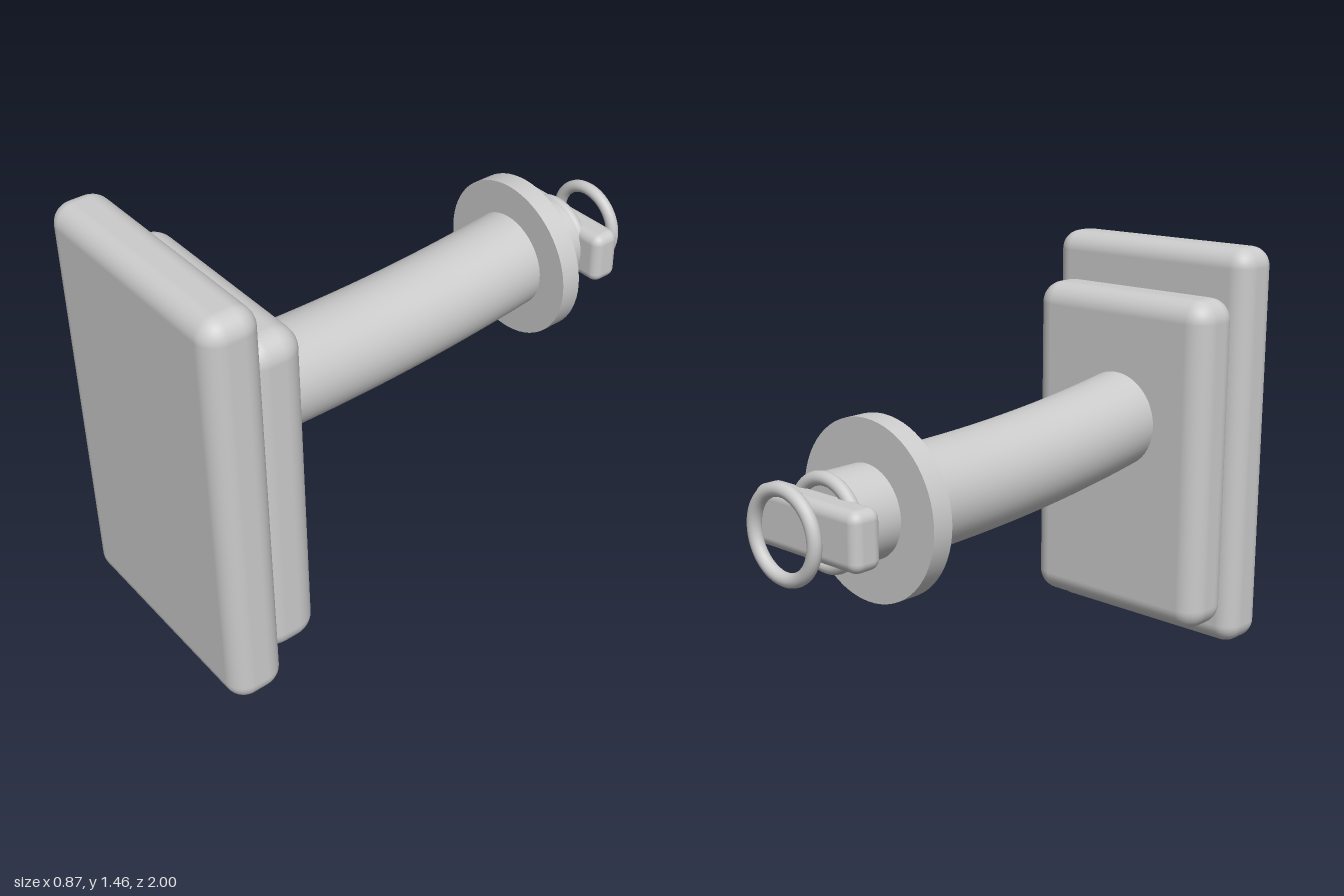
import * as THREE from 'three';
import { RoundedBoxGeometry } from 'three/addons/geometries/RoundedBoxGeometry.js';

const AXIS_X = -0.1;   // centre of the rear fittings
const AXIS_Y = 0.785;

export function createModel() {
  const group = new THREE.Group();
  const material = new THREE.MeshStandardMaterial({ color: 0xcccccc });

  const add = (name, geometry, x = 0, y = 0, z = 0) => {
    const mesh = new THREE.Mesh(geometry, material);
    mesh.name = name;
    mesh.position.set(x, y, z);
    group.add(mesh);
    return mesh;
  };

  // Rounded block spanning z0..z1
  const block = (name, w, h, z0, z1, radius, x, y) =>
    add(name, new RoundedBoxGeometry(w, h, z1 - z0, 5, radius), x, y, (z0 + z1) / 2);

  // Round disc on the rear axis spanning z0..z1
  const disc = (name, radius, z0, z1) =>
    add(name, new THREE.CylinderGeometry(radius, radius, z1 - z0, 64).rotateX(Math.PI / 2),
      AXIS_X, AXIS_Y, (z0 + z1) / 2);

  const ring = (name, z) =>
    add(name, new THREE.TorusGeometry(0.136, 0.0225, 16, 64), AXIS_X, AXIS_Y, z);

  // Front plate and the smaller plate behind it
  block('frontPlate', 0.87, 1.46, 0.81, 1, 0.07, 0, 0.73);
  block('backPlate', 0.775, 1.21, 0.64, 0.85, 0.08, 0, 0.685);

  // Gently bowed arm, ends buried in the plate and flange
  const armPath = new THREE.QuadraticBezierCurve3(
    new THREE.Vector3(-0.006, 0.835, 0.7),
    new THREE.Vector3(-0.054, 0.752, 0.04),
    new THREE.Vector3(-0.103, 0.784, -0.62),
  );
  add('arm', new THREE.TubeGeometry(armPath, 32, 0.173, 48));

  // Flange, neck and clamp fittings
  disc('flange', 0.291, -0.655, -0.58);
  disc('neck', 0.151, -0.815, -0.64);
  ring('neckRing', -0.815);
  block('crossBar', 0.465, 0.19, -0.91, -0.8, 0.035, AXIS_X, AXIS_Y);
  ring('endRing', -0.977);

  return group;
}
